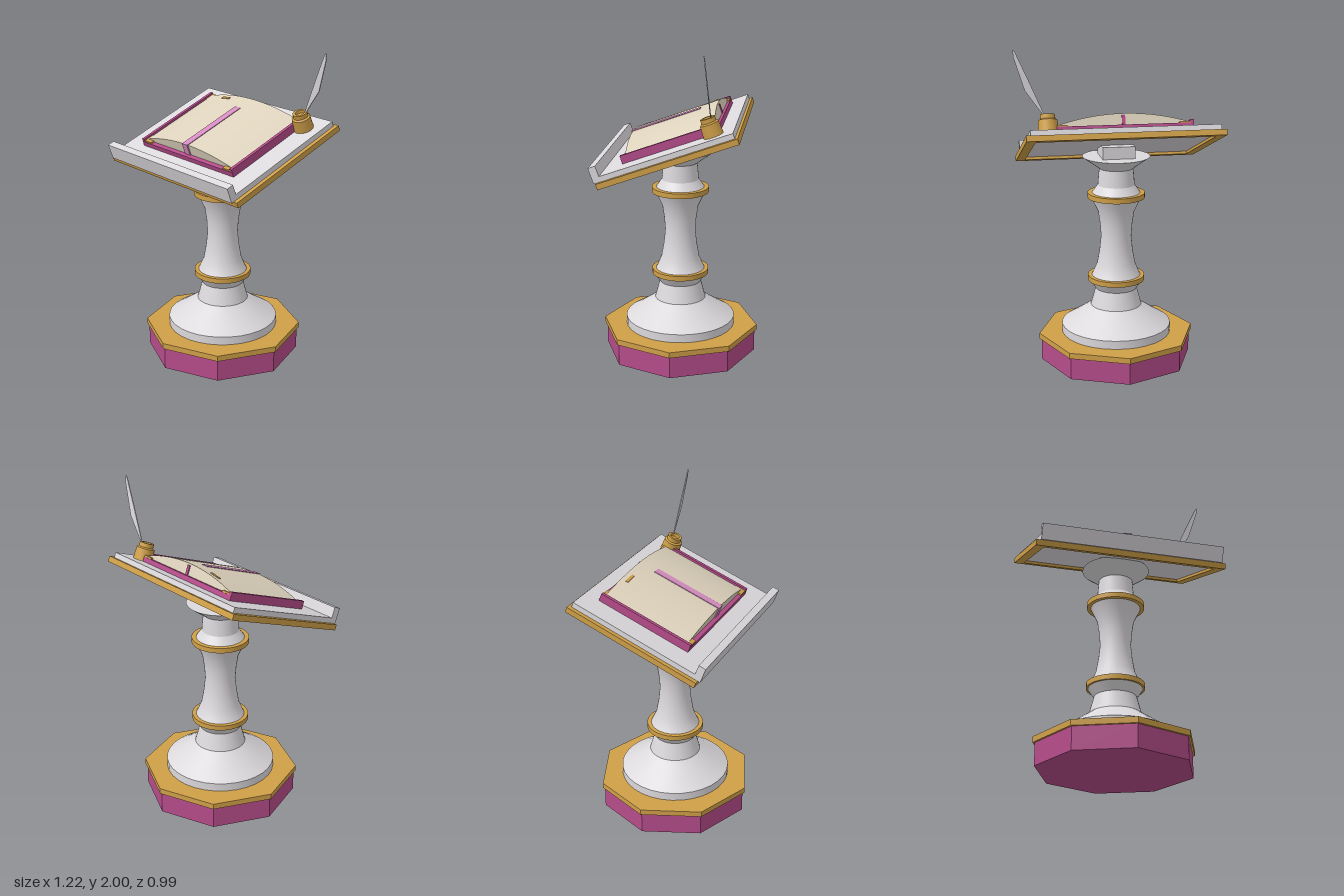
import * as THREE from 'three';
import { toCreasedNormals } from 'three/addons/utils/BufferGeometryUtils.js';

const material = (name, color, side = THREE.FrontSide) => {
  const m = new THREE.MeshStandardMaterial({ color, side });
  m.name = name;
  return m;
};

export function createModel() {
  const stone = material('pale stone', 0xdcd9dc, THREE.DoubleSide);
  const gold = material('gold', 0xcf9f48);
  const magenta = material('magenta', 0xb54c8a);
  const paper = material('cream paper', 0xddd2bc);
  const pink = material('pink ribbon', 0xd58cc0);

  const model = new THREE.Group();
  model.name = 'lecternWithBook';

  const add = (parent, name, geometry, mat, x = 0, y = 0, z = 0) => {
    const mesh = new THREE.Mesh(geometry, mat);
    mesh.name = name;
    mesh.position.set(x, y, z);
    parent.add(mesh);
    return mesh;
  };
  // Box given by its extents on each axis
  const box = (parent, name, mat, x0, x1, y0, y1, z0, z1) =>
    add(parent, name, new THREE.BoxGeometry(x1 - x0, y1 - y0, z1 - z0), mat,
      (x0 + x1) / 2, (y0 + y1) / 2, (z0 + z1) / 2);
  const octagon = (r, h) => toCreasedNormals(new THREE.CylinderGeometry(r, r, h, 8), 0.3);

  const stand = new THREE.Group();
  stand.name = 'stand';
  stand.position.x = -0.03;
  model.add(stand);

  // Octagonal plinth
  add(stand, 'plinth', octagon(0.48, 0.14), magenta, 0, 0.07, 0);
  add(stand, 'plinthTrim', octagon(0.493, 0.036), gold, 0, 0.157, 0);

  // Turned column with flared capital
  const profile = [
    [0, 0.175], [0.345, 0.175], [0.345, 0.228], [0.27, 0.275], [0.16, 0.35],
    [0.13, 0.46], [0.17, 0.52], [0.15, 0.55], [0.12, 0.62], [0.104, 0.71],
    [0.095, 0.8], [0.101, 0.88], [0.113, 0.96], [0.155, 1.05], [0.15, 1.08],
    [0.115, 1.13], [0.106, 1.235], [0.21, 1.31], [0, 1.31],
  ].map(([r, y]) => new THREE.Vector2(r, y));
  add(stand, 'column', toCreasedNormals(new THREE.LatheGeometry(profile, 32), 0.35), stone);
  for (const y of [0.53, 1.065])
    add(stand, 'columnRing', new THREE.CylinderGeometry(0.178, 0.178, 0.032, 32), gold, 0, y, 0);
  box(stand, 'neckBlock', stone, -0.1, 0.1, 1.26, 1.385, -0.1, 0.1);

  // Sloped desk
  const desk = new THREE.Group();
  desk.name = 'desk';
  desk.position.set(-0.03, 1.372, 0);
  desk.rotation.x = Math.PI / 9;
  model.add(desk);
  box(desk, 'deskTop', stone, -0.56, 0.56, 0, 0.05, -0.412, 0.41);
  box(desk, 'bookLip', stone, -0.56, 0.56, 0.0176, 0.115, 0.4, 0.445);

  // Gold frame with an open centre under the desk
  const rectangle = (Type, w, d) => {
    const s = new Type();
    s.moveTo(-w, -d).lineTo(w, -d).lineTo(w, d).lineTo(-w, d).closePath();
    return s;
  };
  const frameShape = rectangle(THREE.Shape, 0.586, 0.43);
  frameShape.holes.push(rectangle(THREE.Path, 0.53, 0.375));
  const frame = add(desk, 'deskFrame',
    new THREE.ExtrudeGeometry(frameShape, { depth: 0.035, bevelEnabled: false }), gold, 0, 0.0175, 0);
  frame.rotation.x = Math.PI / 2;

  // Open book
  const book = new THREE.Group();
  book.name = 'book';
  desk.add(book);
  box(book, 'cover', magenta, -0.4175, 0.4175, 0.05, 0.08, -0.32, 0.283);
  for (const s of [-1, 1]) {
    box(book, 'coverEdge', magenta, s * 0.407 - 0.0105, s * 0.407 + 0.0105, 0.051, 0.1, -0.319, 0.282);
    for (const z of [-0.284, 0.247])
      add(book, 'cornerMount', new THREE.BoxGeometry(0.064, 0.012, 0.066), gold, s * 0.366, 0.084, z);
  }

  // Arched page block
  const pageShape = new THREE.Shape();
  pageShape.moveTo(-0.39, 0.078).lineTo(0.39, 0.078).lineTo(0.39, 0.09);
  pageShape.quadraticCurveTo(0, 0.21, -0.39, 0.09).closePath();
  const pages = new THREE.ExtrudeGeometry(pageShape, { depth: 0.556, bevelEnabled: false, curveSegments: 24 });
  add(book, 'pages', toCreasedNormals(pages, 0.4), paper, 0, 0, -0.3);

  // Ribbon over the fold, and a small ornament on the left page
  box(book, 'ribbon', pink, -0.024, 0.024, 0.148, 0.154, -0.187, 0.264);
  box(book, 'ribbonEnd', pink, -0.024, 0.024, 0.082, 0.153, 0.257, 0.264);
  box(book, 'spineTab', magenta, -0.01, 0.01, 0.08, 0.14, -0.307, -0.301);
  const ornament = box(book, 'pageOrnament', gold, -0.23, -0.155, 0.134, 0.139, -0.27, -0.253);
  ornament.rotation.z = 0.15;

  // Inkwell standing on the desk
  const wellProfile = [
    [0, 0.05], [0.06, 0.05], [0.056, 0.125], [0.044, 0.132], [0.044, 0.158], [0.028, 0.158], [0.026, 0.14], [0, 0.14],
  ].map(([r, y]) => new THREE.Vector2(r, y));
  add(desk, 'inkwell', toCreasedNormals(new THREE.LatheGeometry(wellProfile, 20), 0.4), gold, 0.443, 0, -0.285);

  // Quill: a thin upright feather leaning outwards
  const outline = [
    [0.425, 1.585], [0.435, 1.585], [0.452, 1.635], [0.545, 1.765],
    [0.605, 1.955], [0.608, 2.0], [0.595, 1.985], [0.525, 1.83], [0.44, 1.635],
  ].map(([x, y]) => new THREE.Vector2(x, y));
  const feather = new THREE.ExtrudeGeometry(new THREE.Shape(outline), { depth: 0.006, bevelEnabled: false });
  const p = feather.attributes.position;
  for (let i = 0; i < p.count; i++)
    p.setZ(i, p.getZ(i) - 0.24 + 0.055 * (p.getY(i) - 1.6) - 0.12 * (p.getX(i) - 0.425 - 0.45 * (p.getY(i) - 1.6)));
  feather.computeVertexNormals();
  add(model, 'quill', feather, stone);

  return model;
}
